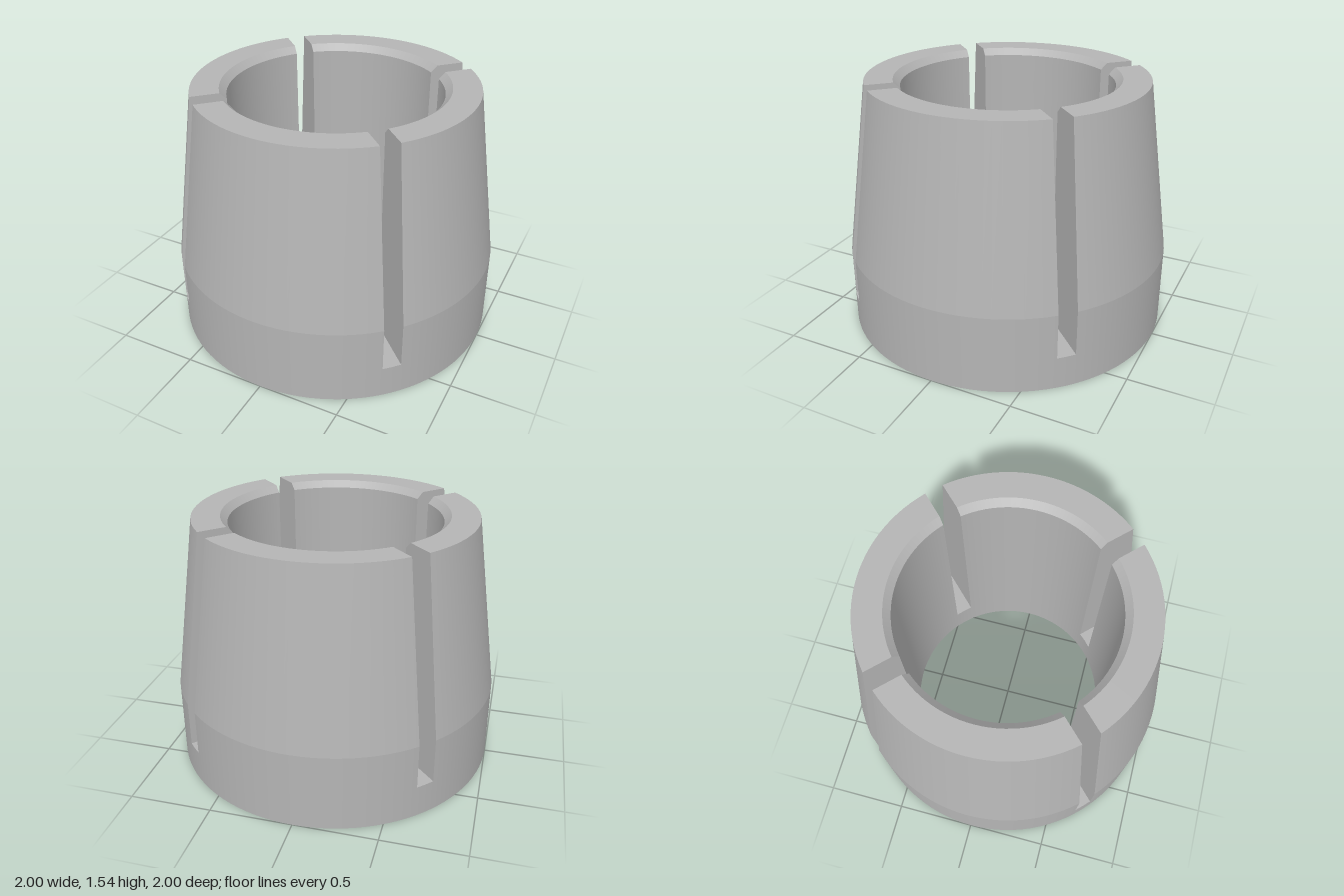
import * as THREE from 'three';

const SLOT_HALF = 0.0566;   // half the width of a slot
const SLOT_FLOOR = 0.2;     // height where the slots stop
const R_BORE = 0.64, R_OUT = 1, R_TOP = 0.85, R_CHAMFER = 0.68;
const Y_TAPER = 0.48, Y_CHAMFER = 1.5, Y_TOP = 1.54;

// Angle from the slot's middle plane to its wall at radius r
const slotAngle = (r) => Math.asin(SLOT_HALF / r);

// Sweeps a closed counterclockwise (r, y) profile about y, from -half(r) to +half(r).
// Each profile edge stays sharp; the surface is smooth around the axis.
// The optional convex cap profile closes both ends with flat walls.
function sweep(profile, half, segments, cap = []) {
  const pos = [], nor = [];
  const at = (r, y, a) => new THREE.Vector3(r * Math.sin(a), y, r * Math.cos(a));
  const push = (p, n) => { pos.push(p.x, p.y, p.z); nor.push(n.x, n.y, n.z); };

  profile.forEach(([r0, y0], k) => {
    const [r1, y1] = profile[(k + 1) % profile.length];
    const len = Math.hypot(r1 - r0, y1 - y0);
    const nr = (y1 - y0) / len, ny = (r0 - r1) / len;
    const corner = (r, y, i) => {
      const a = half(r) * (2 * i / segments - 1);
      push(at(r, y, a), at(nr, ny, a));
    };
    for (let i = 0; i < segments; i++) {
      corner(r0, y0, i); corner(r0, y0, i + 1); corner(r1, y1, i + 1);
      corner(r0, y0, i); corner(r1, y1, i + 1); corner(r1, y1, i);
    }
  });

  for (const side of [-1, 1]) {
    const pts = cap.map(([r, y]) => at(r, y, side * half(r)));
    if (side > 0) pts.reverse();
    for (let i = 1; i < pts.length - 1; i++) {
      const tri = [pts[0], pts[i], pts[i + 1]];
      const n = new THREE.Triangle(...tri).getNormal(new THREE.Vector3());
      tri.forEach((p) => push(p, n));
    }
  }

  const g = new THREE.BufferGeometry();
  g.setAttribute('position', new THREE.Float32BufferAttribute(pos, 3));
  g.setAttribute('normal', new THREE.Float32BufferAttribute(nor, 3));
  return g;
}

export function createModel() {
  const model = new THREE.Group();
  model.name = 'slottedTaperSleeve';
  const steel = new THREE.MeshStandardMaterial({ color: 0xb4b4b4 });
  steel.name = 'grey steel';

  // Tapered jaw: straight base, cone, flat top and chamfered bore
  const upper = [[R_OUT, Y_TAPER], [R_TOP, Y_TOP], [R_CHAMFER, Y_TOP], [R_BORE, Y_CHAMFER]];
  const jawProfile = [[R_BORE, 0], [R_OUT, 0], [R_OUT, SLOT_FLOOR], ...upper, [R_BORE, SLOT_FLOOR]];
  const slotWall = [[R_BORE, SLOT_FLOOR], [R_OUT, SLOT_FLOOR], ...upper];
  const jaw = sweep(jawProfile, (r) => Math.PI / 4 - slotAngle(r), 24, slotWall);

  // Piece of base ring under a slot, its top being the slot floor
  const bridgeProfile = [[R_BORE, 0], [R_OUT, 0], [R_OUT, SLOT_FLOOR], [R_BORE, SLOT_FLOOR]];
  const bridge = sweep(bridgeProfile, slotAngle, 2);

  const add = (name, geometry, angle) => {
    const mesh = new THREE.Mesh(geometry, steel);
    mesh.name = name;
    mesh.rotation.y = angle;
    model.add(mesh);
  };
  ['front', 'left', 'back', 'right'].forEach((side, i) => {
    add(`${side}Jaw`, jaw, i * Math.PI / 2);
    add(`slotBase${i + 1}`, bridge, (i + 0.5) * Math.PI / 2);
  });
  return model;
}
